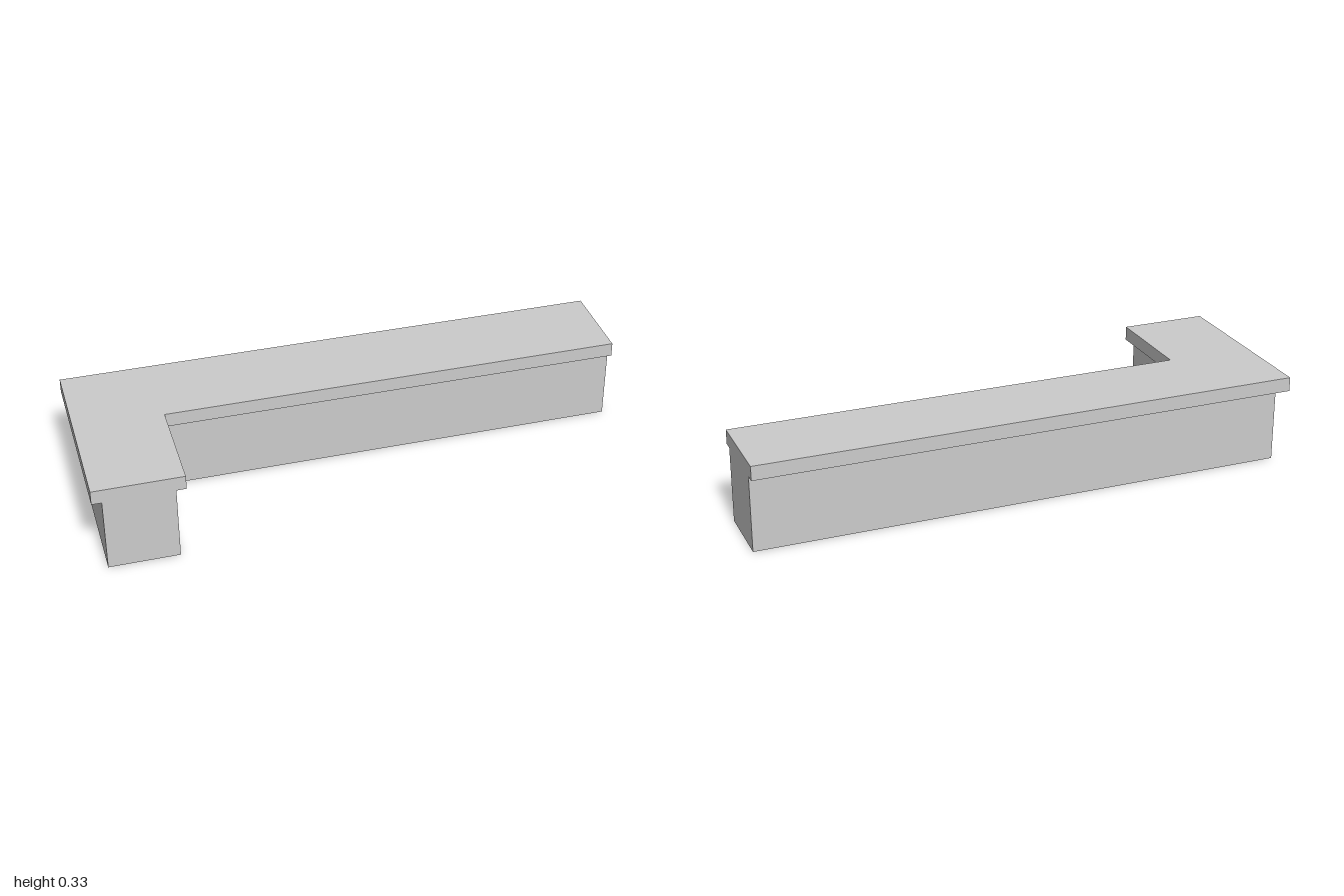
import * as THREE from 'three';

// L-shaped plan: a long run along the back and a short return on one side
function lPrism(name, material, { left, inner, back, front }, bottom, top) {
  const right = 1, end = 0.345;
  const plan = [[left, back], [right, back], [right, front], [inner, front], [inner, end], [left, end]];
  const shape = new THREE.Shape(plan.map(([x, z]) => new THREE.Vector2(x, -z)));
  const geometry = new THREE.ExtrudeGeometry(shape, { depth: top - bottom, bevelEnabled: false });
  geometry.rotateX(-Math.PI / 2).translate(0, bottom, 0);
  const mesh = new THREE.Mesh(geometry, material);
  mesh.name = name;
  return mesh;
}

export function createModel() {
  const group = new THREE.Group();
  group.name = 'cornerCounter';
  const material = new THREE.MeshStandardMaterial({ color: 0xcccccc });

  // Body, set back from the worktop edge on the long sides and flush at both ends
  group.add(lPrism('counterBody', material,
    { left: -0.965, inner: -0.714, back: -0.309, front: -0.062 }, 0, 0.276));

  // Overhanging worktop
  group.add(lPrism('worktop', material,
    { left: -1, inner: -0.679, back: -0.345, front: -0.028 }, 0.276, 0.328));

  return group;
}
